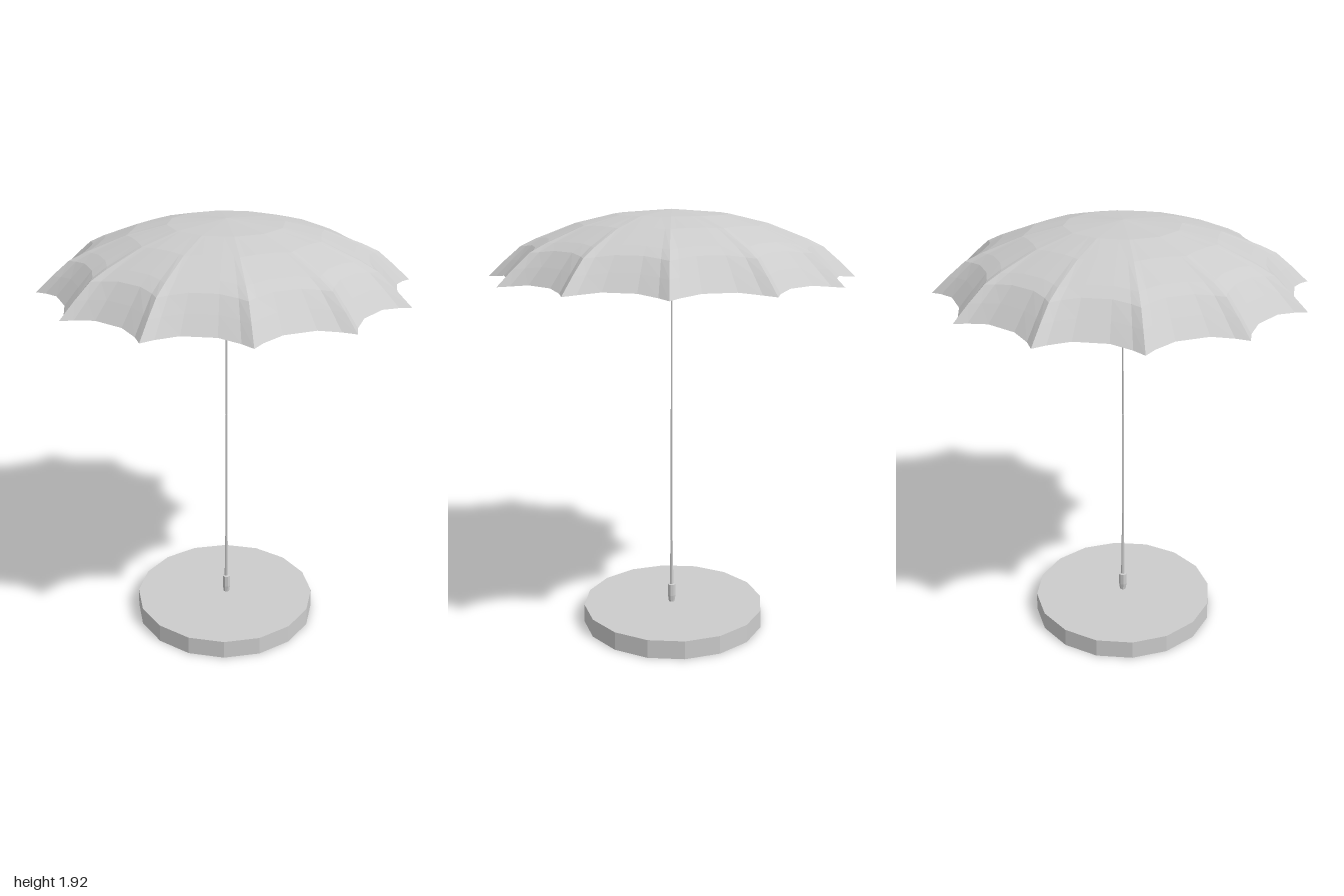
import * as THREE from 'three';

const material = new THREE.MeshStandardMaterial({ color: 0xcccccc, flatShading: true, side: THREE.DoubleSide });

// Scalloped canopy: rings along the ribs, five columns per panel
function canopyGeometry() {
  const ribs = 12, tipRadius = 0.805;
  const rings = [[0.31, 1.91], [0.52, 1.87], [0.73, 1.805], [0.82, 1.77], [0.91, 1.708], [1, 1.64]];
  const offsets = [0, 3, 9.5, 20.5, 27];
  const cols = ribs * offsets.length;
  const points = [0, 1.93, 0];
  const index = [];
  for (const [t, y] of rings) {
    const blend = THREE.MathUtils.smoothstep(t, 0.31, 1);
    for (let c = 0; c < cols; c++) {
      const off = offsets[c % 5];
      const angle = THREE.MathUtils.degToRad(15 + 30 * Math.floor(c / 5) + off);
      // straight panels near the crown, deep scallops at the rim
      const u = Math.min(off, 30 - off) / 15;
      const chord = Math.cos(Math.PI / 12) / Math.cos(Math.PI / 12 * (1 - u));
      const scallop = 0.895 + 0.105 * (1 - u) ** 3;
      const r = tipRadius * t * THREE.MathUtils.lerp(chord, scallop, blend);
      points.push(r * Math.sin(angle), y + 0.015 * blend * Math.min(1, u * 1.6), r * Math.cos(angle));
    }
  }
  for (let c = 0; c < cols; c++) {
    const n = (c + 1) % cols;
    index.push(0, 1 + c, 1 + n);
    for (let k = 0; k < rings.length - 1; k++) {
      const a = 1 + k * cols, b = a + cols;
      index.push(a + c, b + c, b + n, a + c, b + n, a + n);
    }
  }
  const geometry = new THREE.BufferGeometry();
  geometry.setAttribute('position', new THREE.Float32BufferAttribute(points, 3));
  geometry.setIndex(index);
  geometry.computeVertexNormals();
  return geometry;
}

export function createModel() {
  const model = new THREE.Group();
  model.name = 'parasol';
  const add = (name, geometry, x = 0, y = 0, z = 0) => {
    const mesh = new THREE.Mesh(geometry, material);
    mesh.name = name;
    mesh.position.set(x, y, z);
    model.add(mesh);
  };
  const lathe = (profile, sides) =>
    new THREE.LatheGeometry(profile.map(([r, y]) => new THREE.Vector2(r, y)), sides);

  add('canopy', canopyGeometry());

  // Faceted weighted foot
  add('base', new THREE.CylinderGeometry(0.424, 0.426, 0.085, 16), -0.006, 0.0505, -0.006);

  // Socket holding the pole
  add('collar', lathe([[0, 0.09], [0.014, 0.09], [0.019, 0.125], [0.018, 0.18], [0, 0.183]], 8));

  // Pole in three narrowing stages
  add('pole', lathe([[0.009, 0.17], [0.006, 0.4], [0.005, 0.4], [0.005, 1.04],
    [0.004, 1.04], [0.003, 1.92], [0, 1.925]], 6));
  return model;
}
